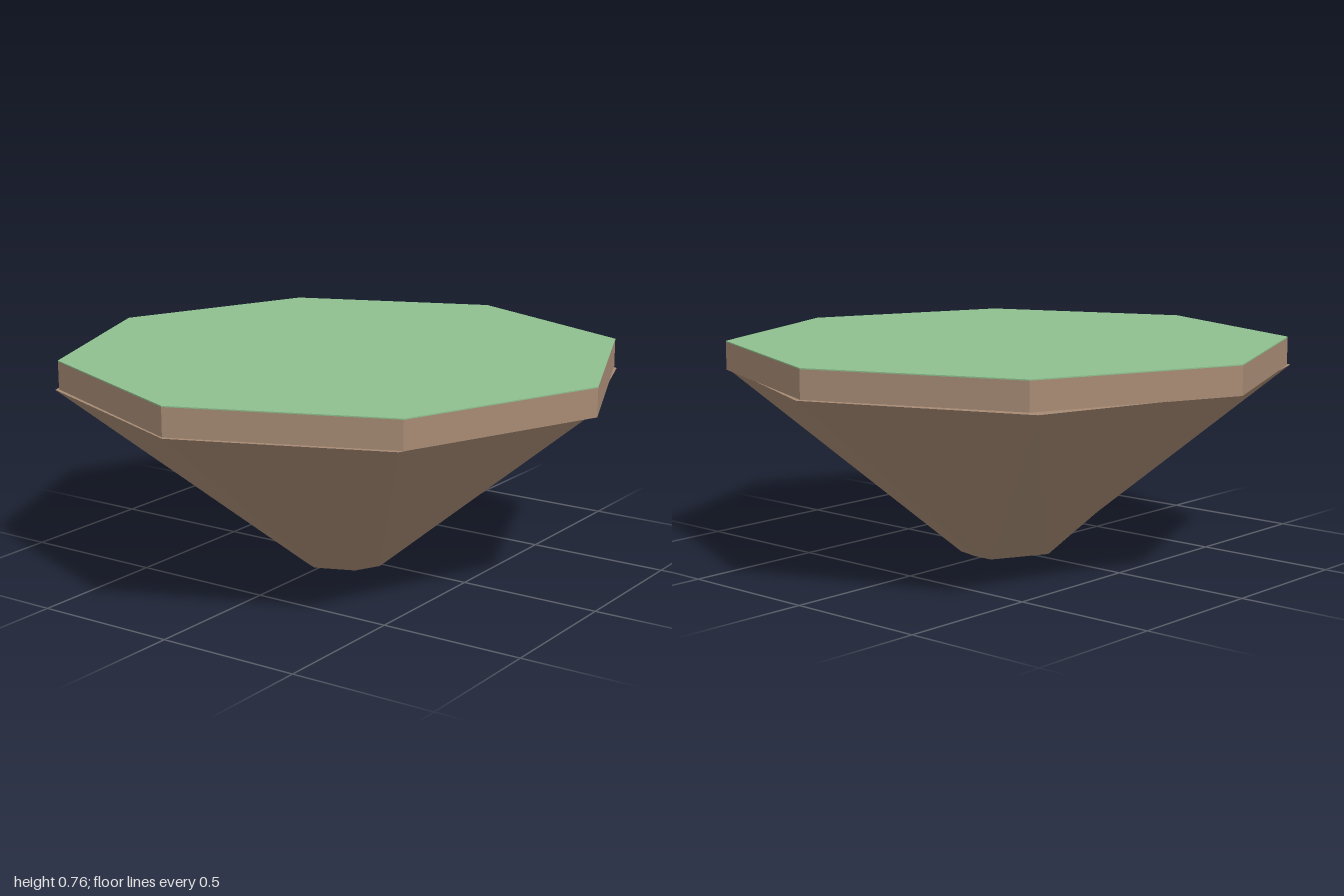
import * as THREE from 'three';

const earth = new THREE.MeshStandardMaterial({ color: 0xa68a74 });
earth.name = 'earth brown';
const grass = new THREE.MeshStandardMaterial({ color: 0x8fbf8f });
grass.name = 'grass green';

// Flat-faced solid between two rings of [x, z] points, running from +x towards +z
function loft(name, low, yLow, high, yHigh, material) {
  const a = low.map(([x, z]) => [x, yLow, z]);
  const b = high.map(([x, z]) => [x, yHigh, z]);
  const n = a.length;
  const pos = [];
  const tri = (...corners) => corners.forEach((c) => pos.push(...c));
  for (let i = 0; i < n; i++) {
    const j = (i + 1) % n;
    tri(a[i], b[i], b[j]);
    tri(a[i], b[j], a[j]);
  }
  for (let k = 1; k < n - 1; k++) {
    tri(a[0], a[k], a[k + 1]);
    tri(b[0], b[k + 1], b[k]);
  }
  const geometry = new THREE.BufferGeometry();
  geometry.setAttribute('position', new THREE.Float32BufferAttribute(pos, 3));
  geometry.computeVertexNormals();
  const mesh = new THREE.Mesh(geometry, material);
  mesh.name = name;
  return mesh;
}

export function createModel() {
  const group = new THREE.Group();
  group.name = 'floatingIsland';

  // Regular octagon shared by the rim and the turf
  const octagon = Array.from({ length: 8 }, (_, i) => {
    const t = (i * Math.PI) / 4;
    return [0.982 * Math.cos(t), 0.982 * Math.sin(t) + 0.003];
  });

  // Uneven rocky underside tapering to a small foot
  const foot = [[0.165, 0.02], [0.12, 0.11], [-0.015, 0.165], [-0.09, 0.125],
    [-0.147, 0.045], [-0.05, -0.15], [0.02, -0.15], [0.11, -0.13]];
  const shoulder = [[0.955, 0], [0.69, 0.717], [0.01, 0.997], [-0.7, 0.71],
    [-0.95, 0], [-0.745, -0.71], [-0.005, -1], [0.715, -0.67]];
  group.add(loft('rockUnderside', foot, 0, shoulder, 0.656, earth));

  // Soil rim and thin turf on top
  group.add(loft('soilRim', octagon, 0.655, octagon, 0.752, earth));
  group.add(loft('grassTop', octagon, 0.752, octagon, 0.756, grass));

  return group;
}
